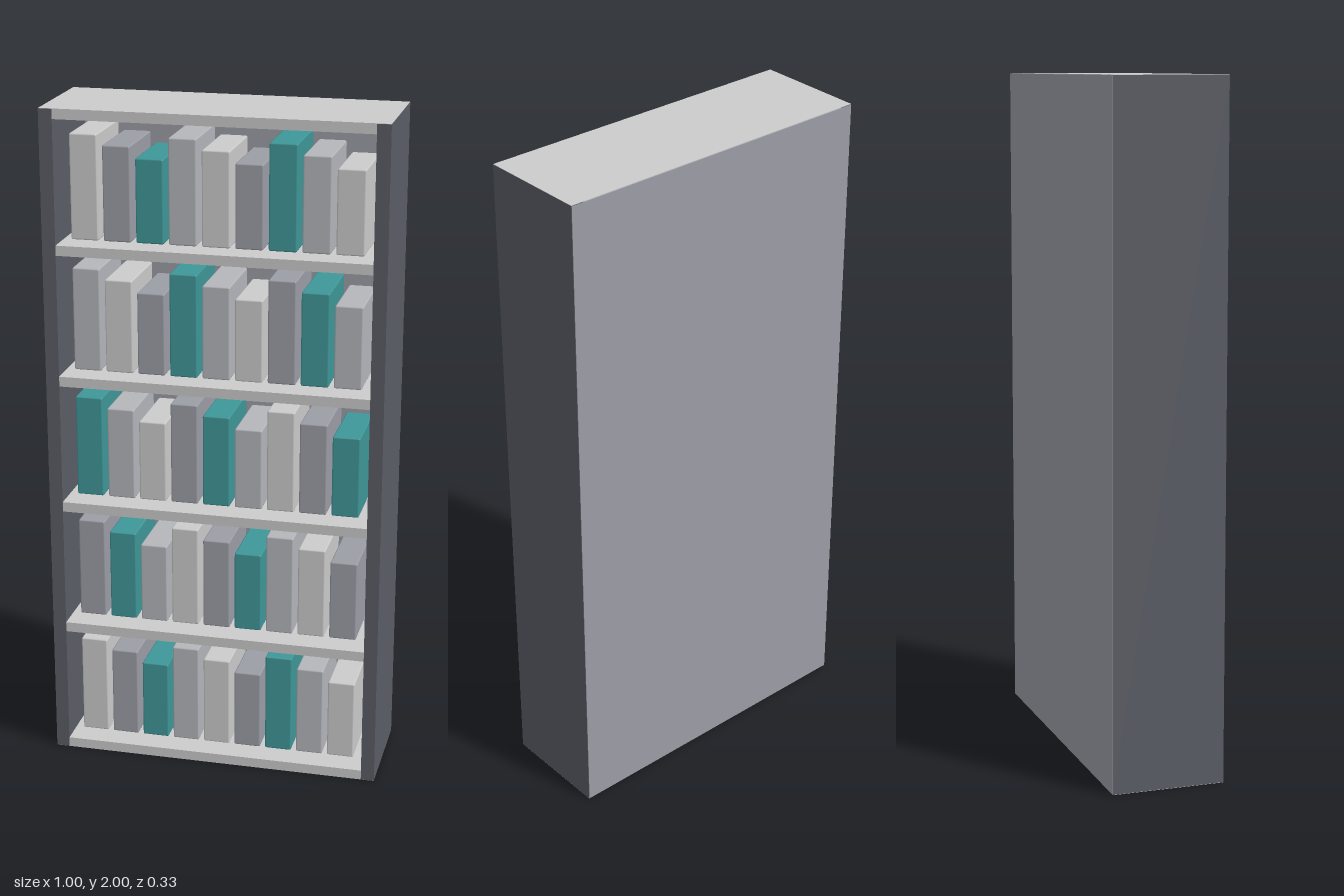
import * as THREE from 'three';
import { RoundedBoxGeometry } from 'three/addons/geometries/RoundedBoxGeometry.js';

const paint = (color) => new THREE.MeshStandardMaterial({ color });

export function createModel() {
  const model = new THREE.Group();
  model.name = 'bookcase';

  const W = 1, H = 2, D = 0.334;
  const board = 0.03;            // shelf thickness
  const side = 0.04;             // side panel thickness
  const pitch = (H - board) / 5; // shelf spacing

  const dark = paint(0x5a5d65);
  const light = paint(0xcccccc);
  const panel = paint(0x9c9ea6);
  const bookPaints = [paint(0xcccccc), paint(0x9c9ea6), paint(0x3f9799), paint(0xb4b6bb)];

  const add = (parent, name, geometry, material, x, y, z) => {
    const mesh = new THREE.Mesh(geometry, material);
    mesh.name = name;
    mesh.position.set(x, y, z);
    parent.add(mesh);
  };

  // Side panels, standing a hair proud of the boards
  for (const [name, s] of [['leftSide', 1], ['rightSide', -1]]) {
    add(model, name, new THREE.BoxGeometry(side, H - 0.002, D), dark, s * (W - side) / 2, H / 2, 0);
  }

  // Back panel
  add(model, 'backPanel', new THREE.BoxGeometry(W - 0.002, H - 0.004, 0.02), panel, 0, H / 2, -D / 2 + 0.009);

  // Base, four shelves and top; base and top run the full width
  for (let i = 0; i <= 5; i++) {
    const outer = i === 0 || i === 5;
    const name = i === 0 ? 'base' : i === 5 ? 'top' : 'shelf';
    add(model, name, new THREE.BoxGeometry(outer ? W - 0.001 : W - 2 * side + 0.01, board, D - 0.002),
      light, 0, board / 2 + i * pitch, 0);
  }

  // Books: three heights repeat along a row, four colours step along by one each row
  const bookGeometries = [0.31, 0.28, 0.247].map((h) => new RoundedBoxGeometry(0.082, h, 0.23, 1, 0.005));
  for (let row = 0; row < 5; row++) {
    const books = new THREE.Group();
    books.name = 'bookRow';
    books.position.y = row * pitch + board + 0.002;
    for (let i = 0; i < 9; i++) {
      const g = bookGeometries[i % 3];
      add(books, 'book', g, bookPaints[(i + row) % 4],
        -0.394 + i * 0.097, [0.31, 0.28, 0.247][i % 3] / 2, -0.02);
    }
    model.add(books);
  }

  return model;
}
